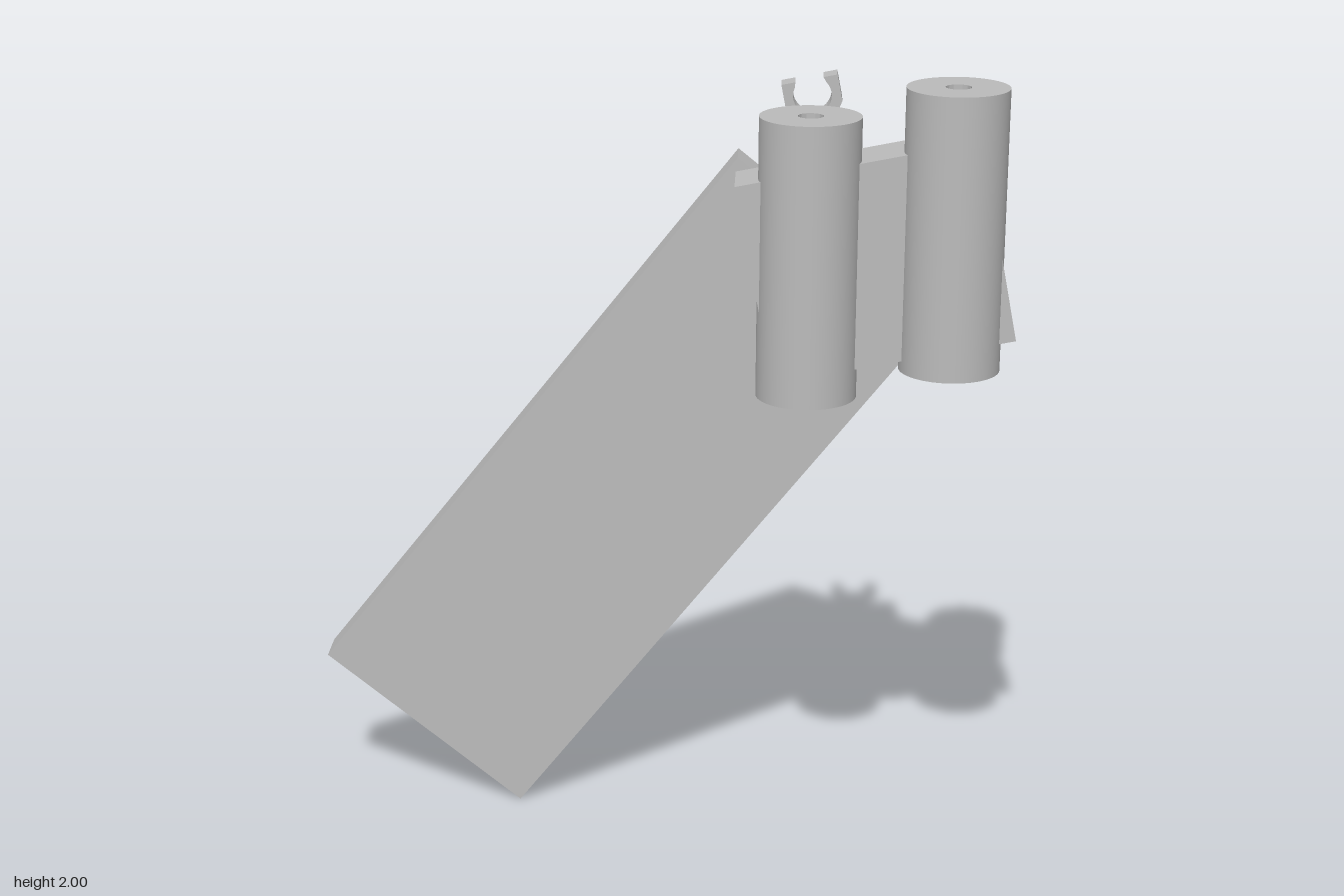
import * as THREE from 'three';
import { toCreasedNormals } from 'three/addons/utils/BufferGeometryUtils.js';

export function createModel() {
  const model = new THREE.Group();
  const grey = new THREE.MeshStandardMaterial({ color: 0xbbbbbb });
  grey.name = 'plain grey';

  const add = (name, geometry, parent = model) => {
    const mesh = new THREE.Mesh(geometry, grey);
    mesh.name = name;
    parent.add(mesh);
    return mesh;
  };
  const polygon = (points) => new THREE.Shape(points.map(([x, y]) => new THREE.Vector2(x, y)));
  // Extrude a front outline between two depths
  const slab = (shape, z0, z1) => {
    const g = new THREE.ExtrudeGeometry(shape, { depth: z1 - z0, bevelEnabled: false, curveSegments: 40 });
    g.translate(0, 0, z0);
    return toCreasedNormals(g, 0.6);
  };

  // Long slanted plate with three round holes near its foot
  const plate = polygon([[-0.36, 0], [0.70, 1.34], [0.20, 1.745], [-0.86, 0.405]]);
  for (const [x, y] of [[-0.625, 0.535], [-0.475, 0.44], [-0.318, 0.36]]) {
    plate.holes.push(new THREE.Path().absarc(x, y, 0.06, 0, Math.PI * 2, true));
  }
  add('basePlate', slab(plate, -0.295, -0.19));

  // Upright tubes, each with a narrow bore
  const tube = (name, x, y0, y1) => {
    const profile = [[0.03, y0], [0.119, y0], [0.119, y1], [0.03, y1], [0.03, y0]];
    const g = new THREE.LatheGeometry(profile.map(([r, y]) => new THREE.Vector2(r, y)), 64);
    add(name, toCreasedNormals(g, 0.6)).position.set(x, 0, 0.185);
  };
  tube('rightTube', 0.373, 1.26, 1.93);
  tube('leftTube', 0.708, 1.33, 2.0);

  // Tilted bracket holding the tubes; the front layer leaves their bores clear
  add('bracketBack', slab(polygon([[0.295, 1.297], [0.86, 1.41], [0.765, 1.883], [0.20, 1.77]]), 0.065, 0.15));
  const bottom = (x) => 1.238 + 0.2 * x;
  const top = (x) => 1.73 + 0.2 * x;
  const front = [
    [[0.295, 1.297], [0.33, bottom(0.33)], [0.33, top(0.33)], [0.20, 1.77]],
    [[0.42, bottom(0.42)], [0.66, bottom(0.66)], [0.66, top(0.66)], [0.42, top(0.42)]],
    [[0.755, bottom(0.755)], [0.86, 1.41], [0.765, 1.883], [0.755, top(0.755)]],
  ];
  front.forEach((p) => add('bracketFront', slab(polygon(p), 0.15, 0.222)));

  // Tilted group: arm through the plate, with the clip standing on it
  const tilted = new THREE.Group();
  tilted.name = 'tiltedArm';
  tilted.position.set(0.4635, 1.494, 0);
  tilted.rotation.z = 0.197;
  model.add(tilted);
  const rect = (x0, y0, x1, y1) => polygon([[x0, y0], [x1, y0], [x1, y1], [x0, y1]]);
  add('armFront', slab(rect(-0.077, -0.091, 0.077, 0.091), -0.09, 0.07), tilted);
  add('armBack', slab(rect(-0.077, -0.098, 0.083, 0.091), -0.305, -0.09), tilted);
  add('clipPost', slab(rect(-0.037, 0.08, 0.037, 0.385), -0.14, -0.087), tilted);

  // Open clip with a rounded seat
  const clip = polygon([[-0.068, 0.475], [-0.068, 0.41], [-0.045, 0.375], [0.045, 0.375], [0.068, 0.41], [0.068, 0.475], [0.034, 0.475]]);
  clip.absarc(0, 0.436, 0.046, 0.6, Math.PI - 0.6, true);
  clip.lineTo(-0.034, 0.475);
  add('clipJaws', slab(clip, -0.146, -0.085), tilted);

  return model;
}
